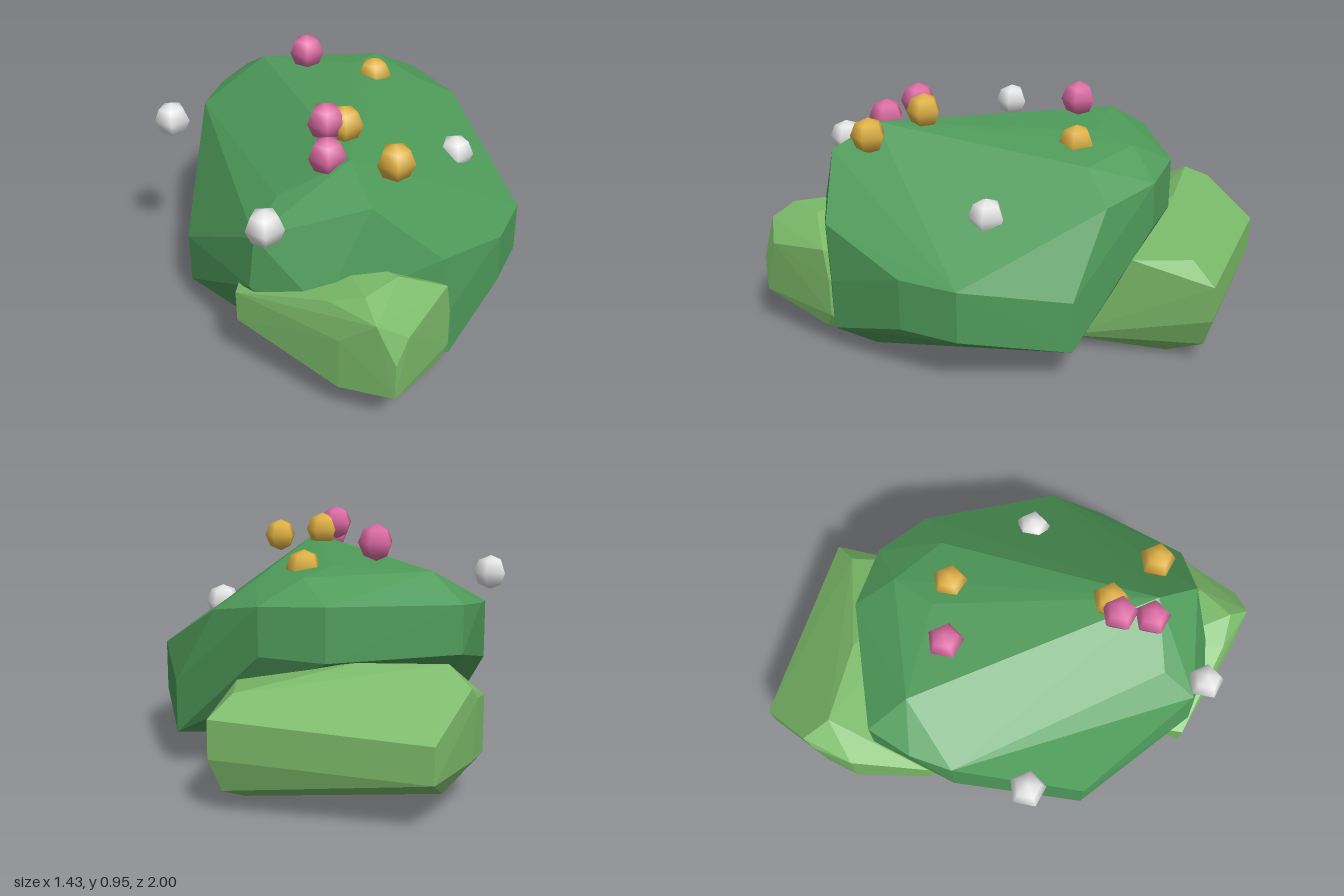
import * as THREE from 'three';
import { ConvexGeometry } from 'three/addons/geometries/ConvexGeometry.js';

const mat = (name, color) => {
  const m = new THREE.MeshStandardMaterial({ color });
  m.name = name;
  return m;
};

// Faceted leaf clump: convex hull of a few corner points
function clump(name, points, material) {
  const geo = new ConvexGeometry(points.map(p => new THREE.Vector3(...p)));
  const mesh = new THREE.Mesh(geo, material);
  mesh.name = name;
  return mesh;
}

export function createModel() {
  const group = new THREE.Group();
  group.name = 'floweringBush';
  const darkGreen = mat('darkGreen', 0x4f9b5a);
  const lightGreen = mat('lightGreen', 0x7ab968);
  darkGreen.flatShading = lightGreen.flatShading = true;
  const pink = mat('pink', 0xdd6ca4);
  const yellow = mat('yellow', 0xe0b245);
  const white = mat('white', 0xe6e6e6);

  // Large central clump, listed by region
  group.add(clump('mainClump', [
    // crown
    [-0.22, 0.82, 0.53], [-0.22, 0.73, 0.71], [0.36, 0.74, -0.11], [0.12, 0.79, -0.25],
    [0.28, 0.77, -0.34], [-0.18, 0.78, -0.48], [-0.46, 0.69, 0.45],
    // front and right-hand wall
    [0.01, 0.52, 0.80], [0.05, 0.30, 0.80], [0.05, 0.10, 0.80],
    [0.35, 0.41, 0.62], [0.35, 0.21, 0.62], [0.52, 0.41, 0.46], [0.52, 0.21, 0.46],
    [0.625, 0.34, 0.06], [0.625, 0.14, 0.06], [0.53, 0.64, -0.11],
    // back wall
    [0.46, 0.68, -0.34], [0.46, 0.50, -0.34], [0.28, 0.69, -0.51], [0.28, 0.49, -0.51],
    [-0.20, 0.68, -0.65], [-0.20, 0.50, -0.65], [-0.35, 0.66, -0.55],
    // other side wall
    [-0.46, 0.64, -0.43], [-0.46, 0.42, -0.43], [-0.685, 0.32, 0.03], [-0.685, 0.12, 0.03],
    [-0.575, 0.60, 0.53], [-0.60, 0.40, 0.53], [-0.41, 0.38, 0.73], [-0.41, 0.15, 0.73],
    // underside
    [-0.52, 0.03, -0.05], [-0.35, 0.025, -0.06], [-0.34, 0.015, 0.45], [0.05, 0.0, 0.64],
  ], darkGreen));

  // Small clump at the front
  group.add(clump('frontClump', [
    [-0.26, 0.30, 1.0], [-0.26, 0.16, 1.0], [-0.31, 0.445, 0.95], [-0.20, 0.38, 0.97],
    [-0.31, 0.50, 0.86], [-0.16, 0.50, 0.80], [0.02, 0.42, 0.82], [0.04, 0.30, 0.81],
    [0.04, 0.15, 0.81], [0.0, 0.09, 0.82], [-0.01, 0.05, 0.75], [-0.28, 0.055, 0.84],
    [-0.40, 0.34, 0.85], [-0.40, 0.13, 0.84], [-0.41, 0.46, 0.78], [-0.64, 0.36, 0.49],
    [-0.64, 0.24, 0.49], [-0.57, 0.38, 0.38], [-0.30, 0.50, 0.55], [0.0, 0.30, 0.50],
    [-0.35, 0.10, 0.60],
  ], lightGreen));

  // Medium clump at the back, reaching under the main one
  group.add(clump('backClump', [
    [0.71, 0.34, -0.47], [0.71, 0.20, -0.47], [0.15, 0.31, -1.0], [0.15, 0.18, -1.0],
    [0.60, 0.41, -0.44], [0.50, 0.40, -0.24], [0.50, 0.20, -0.24], [0.54, 0.01, -0.38],
    [0.66, 0.08, -0.47], [0.05, 0.03, -0.68], [0.03, 0.09, -0.87], [-0.06, 0.45, -0.90],
    [-0.05, 0.51, -0.78], [-0.10, 0.41, -0.88], [-0.10, 0.18, -0.86], [-0.21, 0.38, -0.77],
    [-0.21, 0.17, -0.77], [-0.34, 0.28, -0.50], [-0.34, 0.165, -0.50], [0.20, 0.50, -0.58],
    [0.38, 0.38, -0.12], [0.38, 0.20, -0.09], [0.35, 0.05, -0.03],
    [-0.23, 0.05, -0.33], [-0.32, 0.18, -0.38],
  ], lightGreen));

  // Round blossoms, five sides by four rings
  const blossomGeo = new THREE.SphereGeometry(0.07, 5, 4);
  const blossoms = [
    [pink, [[-0.065, 0.87, -0.27], [-0.235, 0.885, 0.35], [-0.28, 0.82, 0.47]]],
    [yellow, [[-0.165, 0.86, 0.35], [-0.08, 0.815, 0.595], [0.18, 0.775, -0.15]]],
    [white, [[-0.65, 0.71, -0.21], [-0.55, 0.665, 0.58], [0.335, 0.595, 0.275]]],
  ];
  for (const [material, spots] of blossoms) {
    for (const p of spots) {
      const b = new THREE.Mesh(blossomGeo, material);
      b.name = material.name + 'Blossom';
      b.position.set(...p);
      group.add(b);
    }
  }
  return group;
}
